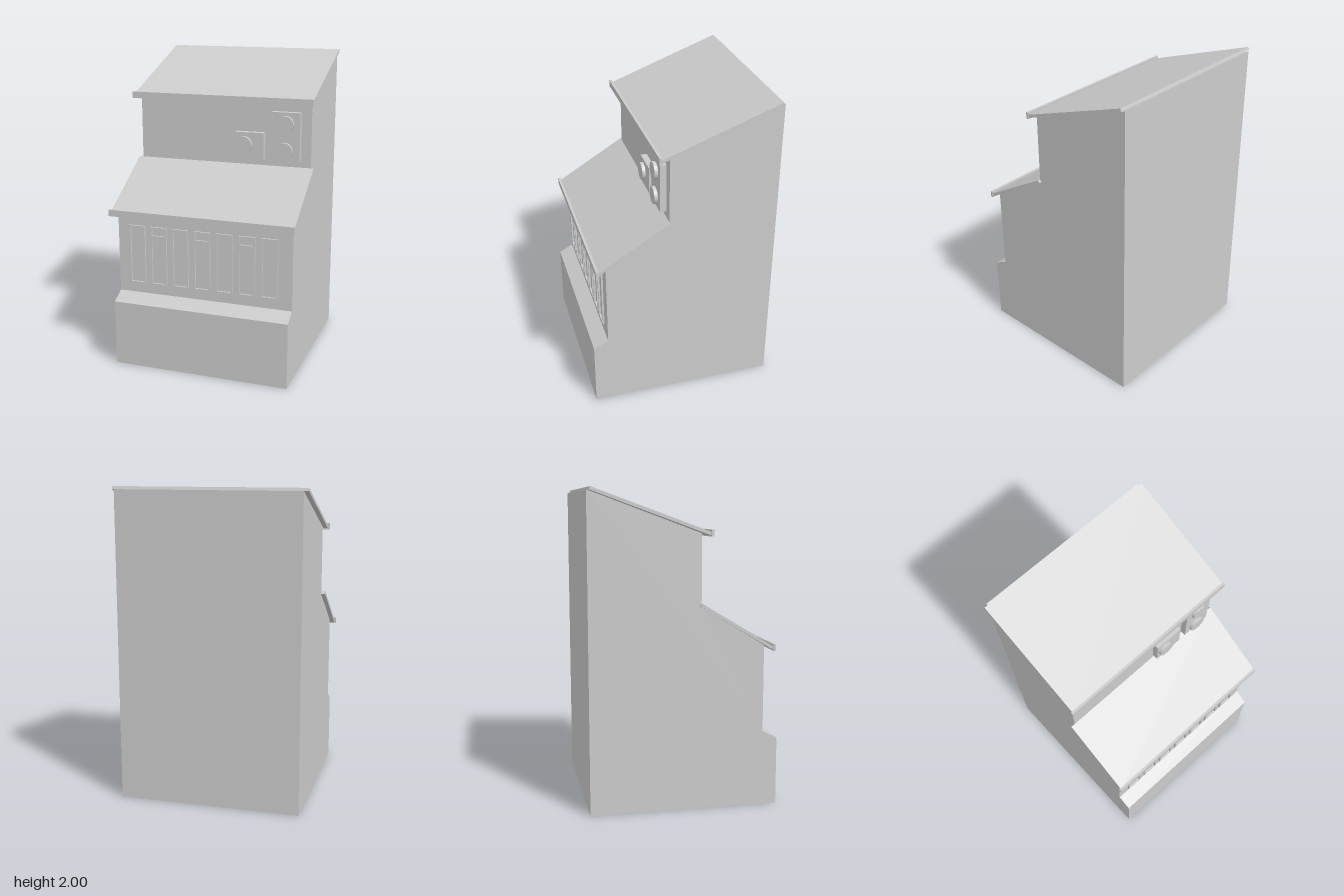
import * as THREE from 'three';

const material = new THREE.MeshStandardMaterial({ color: 0xcccccc, flatShading: true });
const smooth = new THREE.MeshStandardMaterial({ color: 0xcccccc });

// Side profile given as [z, y] points, swept along x between two limits
function sweep(name, points, xMin, xMax) {
  const shape = new THREE.Shape(points.map(([z, y]) => new THREE.Vector2(z, y)));
  const geo = new THREE.ExtrudeGeometry(shape, { depth: xMax - xMin, bevelEnabled: false });
  geo.rotateY(-Math.PI / 2).translate(xMax, 0, 0);
  const mesh = new THREE.Mesh(geo, material);
  mesh.name = name;
  return mesh;
}

function box(name, [x0, x1], [y0, y1], [z0, z1]) {
  const mesh = new THREE.Mesh(new THREE.BoxGeometry(x1 - x0, y1 - y0, z1 - z0), material);
  mesh.position.set((x0 + x1) / 2, (y0 + y1) / 2, (z0 + z1) / 2);
  mesh.name = name;
  return mesh;
}

function rect(Type, x0, x1, y0, y1) {
  return new Type([[x0, y0], [x1, y0], [x1, y1], [x0, y1]].map(([x, y]) => new THREE.Vector2(x, y)));
}

// Flat window frame, with a crossbar and a small upper pane when split
function windowFrame(x, split) {
  const w = 0.055, hole = 0.044;
  const shape = rect(THREE.Shape, -w, w, 0.545, 0.935);
  const panes = split ? [[0.556, 0.835], [0.878, 0.924]] : [[0.556, 0.924]];
  for (const [y0, y1] of panes) shape.holes.push(rect(THREE.Path, -hole, hole, y0, y1));
  const mesh = new THREE.Mesh(new THREE.ExtrudeGeometry(shape, { depth: 0.012, bevelEnabled: false }), material);
  mesh.position.set(x, 0, 0.503);
  mesh.name = split ? 'splitWindowFrame' : 'windowFrame';
  return mesh;
}

// Sloped roof slab with a straight gutter board along its front edge
function roof(name, front, back) {
  const group = new THREE.Group();
  group.name = name;
  const dz = back[0] - front[0], dy = back[1] - front[1], len = Math.hypot(dz, dy);
  const t = 0.02, nz = dy / len * t, ny = -dz / len * t;
  const under = ([z, y]) => [z - nz, y - ny];
  group.add(
    sweep('roofSlab', [front, back, under(back), under(front)], -0.605, 0.608),
    box('gutterBoard', [-0.615, 0.612], [front[1] - 0.027, front[1] + 0.015], [front[0] - 0.003, front[0] + 0.013])
  );
  return group;
}

export function createModel() {
  const model = new THREE.Group();
  model.name = 'steppedBuilding';

  // Stepped main body with a sloping ledge
  model.add(sweep('body', [
    [0.597, 0], [0.597, 0.43], [0.503, 0.48], [0.503, 1.03], [0.1, 1.28],
    [0.1, 1.725], [-0.597, 1.982], [-0.597, 0]
  ], -0.578, 0.59));

  // Two roofs
  model.add(roof('upperRoof', [0.155, 1.732], [-0.577, 2]));
  model.add(roof('lowerRoof', [0.555, 1.025], [0.1, 1.3]));

  // Row of windows, every second one split
  for (let i = 0; i < 7; i++) model.add(windowFrame(-0.445 + i * 0.148, i % 2 === 1));

  // Wall boxes with round fans
  model.add(box('smallWallBox', [0.09, 0.285], [1.34, 1.515], [0.09, 0.14]));
  model.add(box('tallWallBox', [0.335, 0.525], [1.34, 1.655], [0.09, 0.14]));
  for (const [x, y] of [[0.155, 1.435], [0.43, 1.58], [0.425, 1.408]]) {
    const fan = new THREE.Mesh(new THREE.CylinderGeometry(0.055, 0.055, 0.025, 32), smooth);
    fan.rotation.x = Math.PI / 2;
    fan.position.set(x, y, 0.149);
    fan.name = 'fan';
    model.add(fan);
  }
  return model;
}
